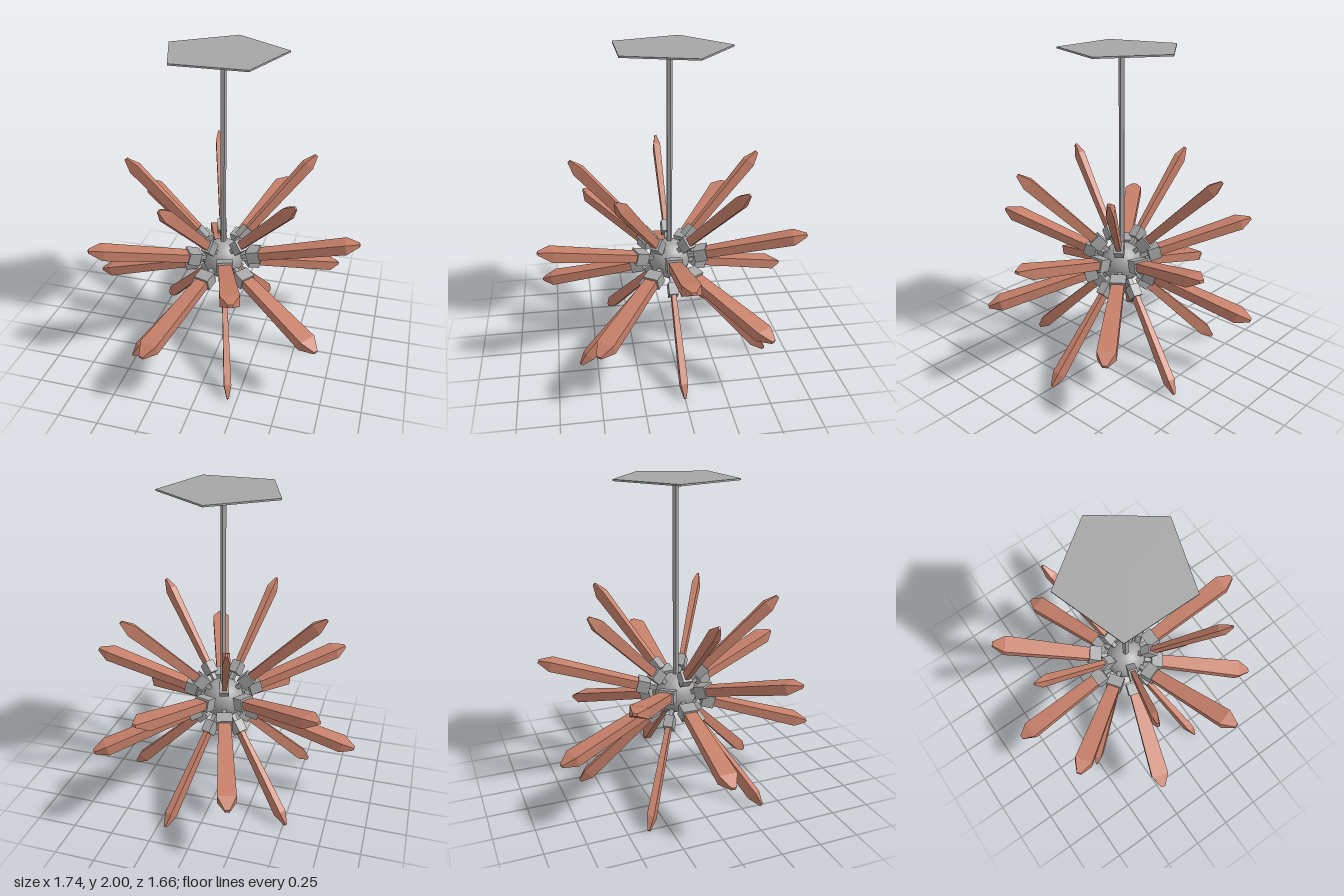
import * as THREE from 'three';

const copper = new THREE.MeshStandardMaterial({ color: 0xc57f69 });
copper.name = 'copper';
const steel = new THREE.MeshStandardMaterial({ color: 0xa6a6a6 });
steel.name = 'steel';

const HUB_Y = 0.635;

function faceted(geometry) {
  const flat = geometry.toNonIndexed();
  flat.computeVertexNormals();
  return flat;
}

// Rectangular bar along +x; each ring is [distance, height, width]
function bar(rings) {
  const n = rings.length - 1;
  const geo = new THREE.BoxGeometry(1, 1, 1, n, 1, 1);
  const p = geo.attributes.position;
  for (let i = 0; i < p.count; i++) {
    const [x, h, w] = rings[Math.round((p.getX(i) + 0.5) * n)];
    p.setXYZ(i, x, p.getY(i) * h, p.getZ(i) * w);
  }
  return faceted(geo);
}

function add(parent, name, geometry, material, y = 0) {
  const mesh = new THREE.Mesh(geometry, material);
  mesh.name = name;
  mesh.position.y = y;
  parent.add(mesh);
  return mesh;
}

// Pentagonal prism with one corner at the back
function pentagon(radius, height) {
  return faceted(new THREE.CylinderGeometry(radius, radius, height, 5, 1, false, Math.PI));
}

export function createModel() {
  const model = new THREE.Group();
  model.name = 'pendantLamp';

  // Ceiling plate, rod and hub
  add(model, 'ceilingPlate', pentagon(0.385, 0.01), steel, 1.995);
  add(model, 'rod', pentagon(0.019, 1.3), steel, 1.345);
  add(model, 'hub', new THREE.SphereGeometry(0.13, 20, 14), steel, HUB_Y);

  // Two kinds of arm: broad ones near level, slim ones set steeply
  const kinds = {
    broad: {
      spike: bar([[0.24, 0.053, 0.08], [0.815, 0.064, 0.112], [0.897, 0.016, 0.028]]),
      socket: bar([[0.175, 0.08, 0.1], [0.255, 0.08, 0.1]]),
    },
    slim: {
      spike: bar([[0.24, 0.053, 0.03], [0.815, 0.074, 0.045], [0.897, 0.02, 0.012]]),
      socket: bar([[0.175, 0.08, 0.06], [0.255, 0.08, 0.06]]),
    },
  };
  const stem = bar([[0.1, 0.028, 0.028], [0.19, 0.028, 0.028]]);

  // Four rings of five arms; alternate rings are turned half a step
  const tiers = [
    ['upperSlim', kinds.slim, 44.5, 180],
    ['upperBroad', kinds.broad, 15, 0],
    ['lowerBroad', kinds.broad, -15, 180],
    ['lowerSlim', kinds.slim, -44.5, 0],
  ];
  for (const [name, kind, tilt, start] of tiers) {
    for (let k = 0; k < 5; k++) {
      const arm = new THREE.Group();
      arm.name = `${name}Arm${k + 1}`;
      arm.position.y = HUB_Y;
      arm.rotation.set(0, THREE.MathUtils.degToRad(start + 72 * k), THREE.MathUtils.degToRad(tilt));
      add(arm, 'stem', stem, steel);
      add(arm, 'socket', kind.socket, steel);
      add(arm, 'spike', kind.spike, copper);
      model.add(arm);
    }
  }
  return model;
}
